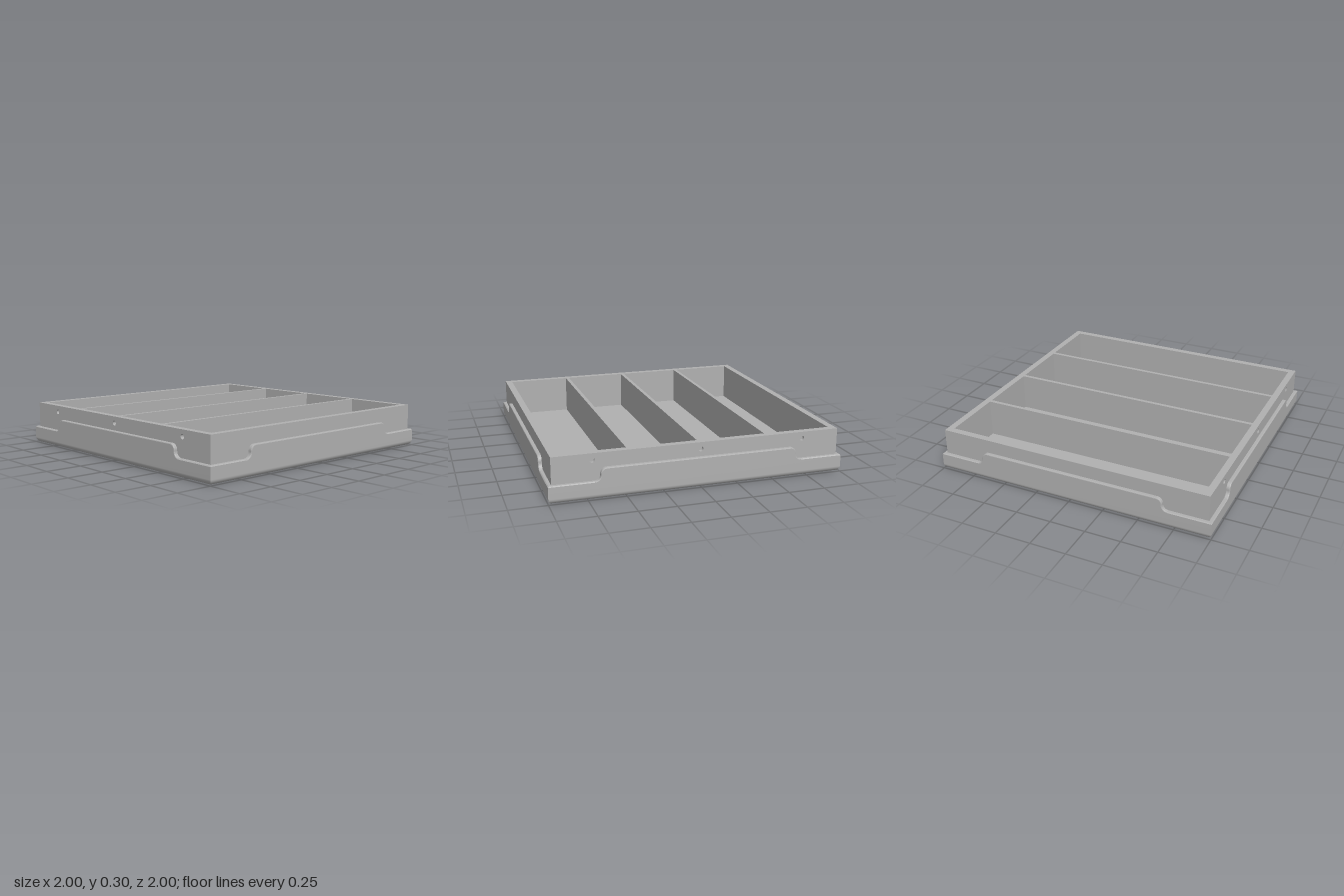
import * as THREE from 'three';

const plastic = new THREE.MeshStandardMaterial({ color: 0xb0b0b0 });
plastic.name = 'grey plastic';

const WALL = 0.975, TOP = 0.3, FLOOR = 0.03, STEP = 0.12, LIP = 0.205;

function add(group, name, geometry) {
  const mesh = new THREE.Mesh(geometry, plastic);
  mesh.name = name;
  group.add(mesh);
  return mesh;
}

function box(group, name, x0, x1, y0, y1, z0, z1) {
  const mesh = add(group, name, new THREE.BoxGeometry(x1 - x0, y1 - y0, z1 - z0));
  mesh.position.set((x0 + x1) / 2, (y0 + y1) / 2, (z0 + z1) / 2);
  return mesh;
}

// One mitred quarter of the base: underside, rounded lower edge, side and step
function baseSide() {
  const r = 0.036;
  const profile = [[0, 0]];
  for (let i = 0; i <= 8; i++) {
    const a = (i / 8) * Math.PI / 2;
    profile.push([1 - r + r * Math.sin(a), r - r * Math.cos(a)]);
  }
  // Repeated points keep the upper edges crisp
  profile.push([1, STEP - 0.006], [1, STEP - 0.006], [0.994, STEP], [0.994, STEP], [0.95, STEP]);
  const positions = [], index = [];
  profile.forEach(([h, y], i) => {
    positions.push(-h, y, h, h, y, h);
    if (i) {
      const a = 2 * i - 2;
      index.push(a, a + 1, a + 3, a, a + 3, a + 2);
    }
  });
  const geometry = new THREE.BufferGeometry();
  geometry.setAttribute('position', new THREE.Float32BufferAttribute(positions, 3));
  geometry.setIndex(index);
  geometry.computeVertexNormals();
  return geometry;
}

// Raised middle of the skirt with S-curved ends
function raisedLip() {
  const r = 0.04, x = 0.665, y = STEP + r;
  const s = new THREE.Shape();
  s.moveTo(-x - r, 0.07);
  s.lineTo(x + r, 0.07);
  s.lineTo(x + r, STEP);
  s.absarc(x + r, y, r, -Math.PI / 2, -Math.PI, true);
  s.lineTo(x, LIP - r);
  s.absarc(x - r, LIP - r, r, 0, Math.PI / 2, false);
  s.lineTo(-x + r, LIP);
  s.absarc(-x + r, LIP - r, r, Math.PI / 2, Math.PI, false);
  s.lineTo(-x, y);
  s.absarc(-x - r, y, r, 0, -Math.PI / 2, true);
  const b = 0.006;
  const geometry = new THREE.ExtrudeGeometry(s, {
    depth: 0.04, curveSegments: 8,
    bevelEnabled: true, bevelThickness: b, bevelSize: b, bevelOffset: -b, bevelSegments: 2,
  });
  return geometry.translate(0, 0, 1 - 0.04 - b);
}

// Outer skin of an end wall, pierced by three shallow round sockets
function socketPlate() {
  const s = new THREE.Shape();
  s.moveTo(-WALL, 0.1);
  s.lineTo(WALL, 0.1);
  s.lineTo(WALL, TOP);
  s.lineTo(-WALL, TOP);
  s.closePath();
  for (const x of [-0.715, 0, 0.715]) {
    s.holes.push(new THREE.Path().absarc(x, 0.255, 0.017, 0, Math.PI * 2, true));
  }
  const geometry = new THREE.ExtrudeGeometry(s, { depth: 0.025, bevelEnabled: false, curveSegments: 20 });
  return geometry.translate(0, 0, WALL - 0.025);
}

export function createModel() {
  const model = new THREE.Group();
  model.name = 'dividedTray';

  // Base and skirt, repeated on all four sides
  const side = baseSide(), lip = raisedLip();
  ['front', 'left', 'back', 'right'].forEach((name, i) => {
    add(model, name + 'Base', side).rotation.y = i * Math.PI / 2;
    add(model, name + 'RaisedLip', lip).rotation.y = i * Math.PI / 2;
  });

  // Compartment floor
  box(model, 'floor', -0.95, 0.95, 0.01, FLOOR, -0.95, 0.95);

  // End walls with sockets
  const plate = socketPlate();
  ['front', 'back'].forEach((name, i) => {
    const wall = new THREE.Group();
    wall.name = name + 'Wall';
    add(wall, 'socketPlate', plate);
    box(wall, 'innerWall', -WALL, WALL, FLOOR, TOP, 0.928, WALL - 0.025);
    wall.rotation.y = i * Math.PI;
    model.add(wall);
  });

  // Side walls
  box(model, 'leftWall', 0.928, WALL, FLOOR, TOP, -0.928, 0.928);
  box(model, 'rightWall', -WALL, -0.928, FLOOR, TOP, -0.928, 0.928);

  // Dividers between the four compartments
  for (const x of [-0.472, 0, 0.472]) {
    box(model, 'divider', x - 0.013, x + 0.013, FLOOR, TOP, -0.928, 0.928);
  }
  return model;
}
